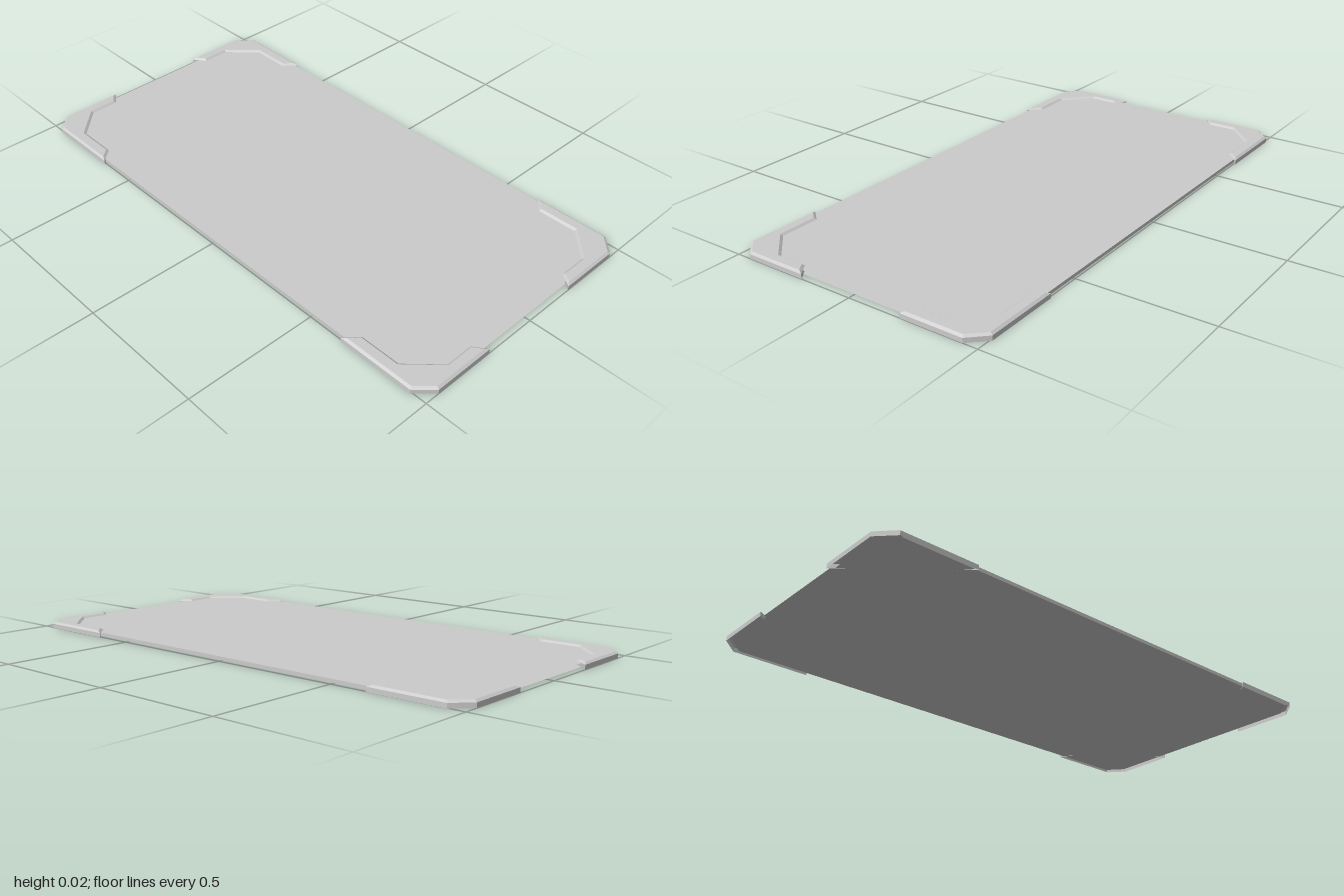
import * as THREE from 'three';

const material = new THREE.MeshStandardMaterial({ color: 0xcccccc, flatShading: true, side: THREE.DoubleSide });

// Collects flat triangles and quads into a mesh
function faceBuilder(name) {
  const v = [];
  const tri = (a, b, c) => v.push(...a, ...b, ...c);
  const quad = (a, b, c, d) => { tri(a, b, c); tri(a, c, d); };
  const cap = (pts, up = true) => {
    const flat = pts.map(([x, , z]) => new THREE.Vector2(x, -z));
    for (const [a, b, c] of THREE.ShapeUtils.triangulateShape(flat, [])) {
      if (up) tri(pts[a], pts[b], pts[c]);
      else tri(pts[a], pts[c], pts[b]);
    }
  };
  const mesh = () => {
    const g = new THREE.BufferGeometry();
    g.setAttribute('position', new THREE.Float32BufferAttribute(v, 3));
    g.computeVertexNormals();
    const m = new THREE.Mesh(g, material);
    m.name = name;
    return m;
  };
  return { quad, cap, mesh };
}

// Moves every side of a counter-clockwise plan outline inwards by d
function inset(pts, d) {
  const n = pts.length;
  const side = (i) => {
    const [x0, z0] = pts[i % n], [x1, z1] = pts[(i + 1) % n];
    const len = Math.hypot(x1 - x0, z1 - z0);
    return [(z1 - z0) / len, -(x1 - x0) / len];
  };
  return pts.map(([x, z], i) => {
    const a = side(i + n - 1), b = side(i);
    const k = d / (1 + a[0] * b[0] + a[1] * b[1]);
    return [x + (a[0] + b[0]) * k, z + (a[1] + b[1]) * k];
  });
}

// Thin sheet with chamfered corners, walls along front and back, open ends
function createPanel() {
  const b = faceBuilder('panel');
  const X = 0.978, Z = 0.497, cx = 0.925, cz = 0.435;
  const plan = [[-cx, Z], [cx, Z], [X, cz], [X, -cz], [cx, -Z], [-cx, -Z], [-X, -cz], [-X, cz]];
  const at = (y) => plan.map(([x, z]) => [x, y, z]);
  const low = at(0.004), high = at(0.017);
  b.cap(high);
  b.cap(low, false);
  for (const i of [0, 4]) b.quad(low[i], low[i + 1], high[i + 1], high[i]);
  return b.mesh();
}

// Corner guard: outer walls reach the ground, inner walls rest on the panel
const guardPlan = [
  [0.645, 0.507], [0.94, 0.507], [1, 0.445], [1, 0.205],
  [0.95, 0.24], [0.95, 0.35], [0.845, 0.455], [0.69, 0.455],
];

function createGuard(name, sx, sz) {
  const b = faceBuilder(name);
  let plan = guardPlan.map(([x, z], i) => [x * sx, z * sz, i < 4 ? 0 : 0.004]);
  if (sx * sz < 0) plan.reverse();
  const base = plan.map(([x, z, y]) => [x, y, z]);
  const shoulder = plan.map(([x, z]) => [x, 0.017, z]);
  const top = inset(plan, 0.009).map(([x, z]) => [x, 0.024, z]);
  const n = plan.length;
  for (let i = 0; i < n; i++) {
    const j = (i + 1) % n;
    b.quad(base[i], base[j], shoulder[j], shoulder[i]);
    b.quad(shoulder[i], shoulder[j], top[j], top[i]);
  }
  b.cap(top);
  return b.mesh();
}

export function createModel() {
  const model = new THREE.Group();
  model.name = 'corneredPanel';
  model.add(createPanel());
  for (const [sx, xName] of [[1, 'Left'], [-1, 'Right']]) {
    for (const [sz, zName] of [[1, 'front'], [-1, 'back']]) {
      model.add(createGuard(`${zName}${xName}CornerGuard`, sx, sz));
    }
  }
  return model;
}
